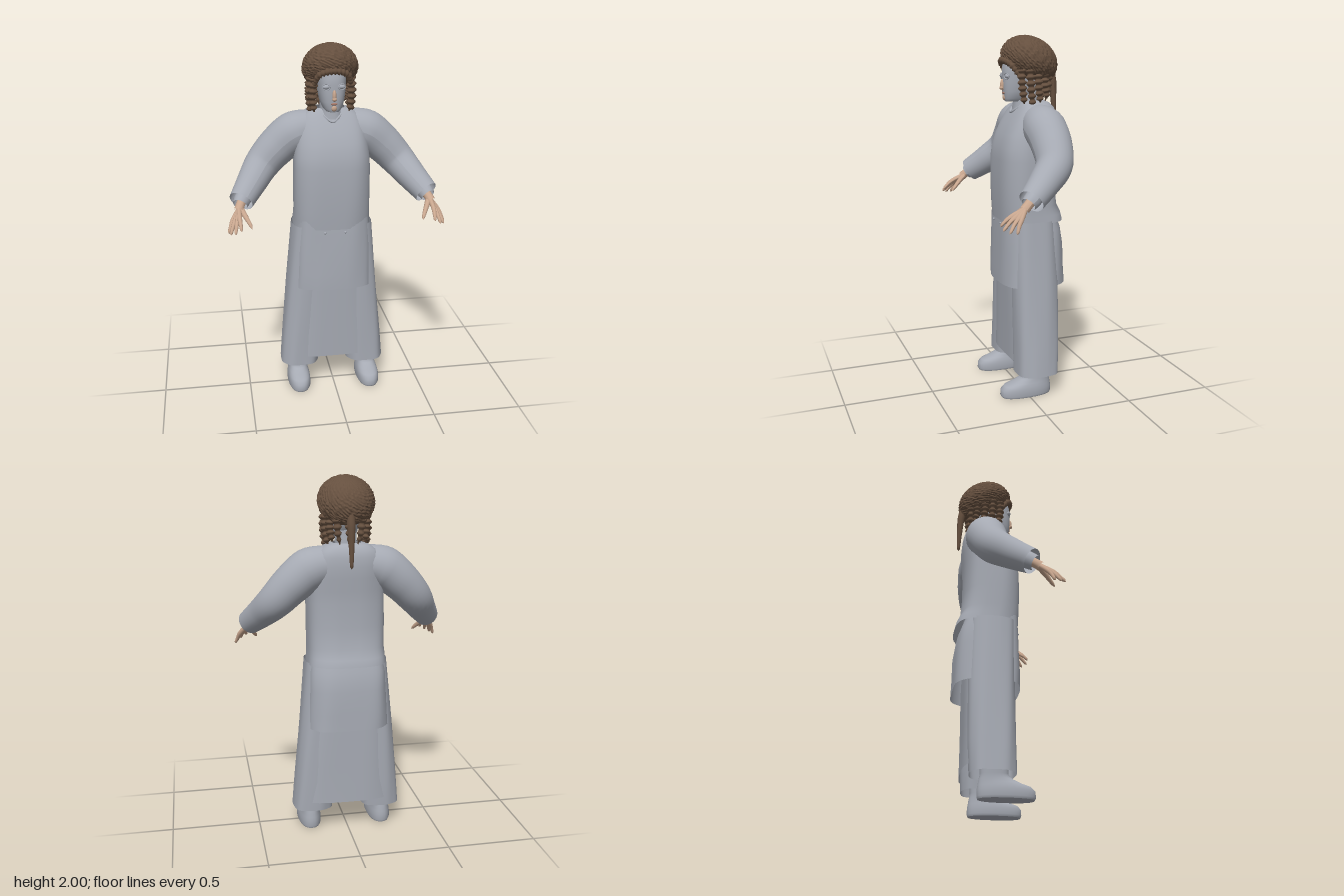
import * as THREE from 'three';

const mat = (name, color, side = THREE.FrontSide) => {
  const m = new THREE.MeshStandardMaterial({ color, side });
  m.name = name;
  return m;
};

// Stacked rounded-box sections, bottom to top: [y, halfWidth, zFront, zBack]
function loft(sections, { cx = 0, power = 2.5, seg = 48, fold = 0, caps = false } = {}) {
  const pos = [], idx = [];
  const bend = (v) => Math.sign(v) * Math.abs(v) ** (2 / power);
  const ring = ([y, w, zf, zb]) => {
    const start = pos.length / 3;
    for (let j = 0; j < seg; j++) {
      const a = (j / seg) * Math.PI * 2;
      const k = 1 + fold * Math.sin(a * 7 + y * 5) + fold * 0.6 * Math.sin(a * 3 - y * 23);
      pos.push(cx + w * k * bend(Math.cos(a)), y, (zf + zb) / 2 + ((zf - zb) / 2) * k * bend(Math.sin(a)));
    }
    return start;
  };
  const starts = sections.map(ring);
  for (let i = 0; i + 1 < starts.length; i++) {
    for (let j = 0; j < seg; j++) {
      const n = (j + 1) % seg, a = starts[i], b = starts[i + 1];
      idx.push(a + j, b + j, a + n, b + j, b + n, a + n);
    }
  }
  if (caps) {
    for (const [s, up] of [[sections[0], false], [sections.at(-1), true]]) {
      const r = ring(s), c = pos.length / 3;
      pos.push(cx, s[0], (s[2] + s[3]) / 2);
      for (let j = 0; j < seg; j++) {
        const n = (j + 1) % seg;
        idx.push(c, r + (up ? n : j), r + (up ? j : n));
      }
    }
  }
  const g = new THREE.BufferGeometry();
  g.setAttribute('position', new THREE.Float32BufferAttribute(pos, 3));
  g.setIndex(idx);
  g.computeVertexNormals();
  return g;
}

// Tube with a radius at each point: [x, y, z, radius]; optional bumps for braids
function taper(points, steps = 16, sides = 12, bumps = 0) {
  const curve = new THREE.CatmullRomCurve3(points.map((p) => new THREE.Vector3(p[0], p[1], p[2])));
  const g = new THREE.TubeGeometry(curve, steps, 1, sides);
  const p = g.attributes.position, c = new THREE.Vector3(), v = new THREE.Vector3();
  for (let i = 0; i <= steps; i++) {
    const t = curve.getUtoTmapping(i / steps) * (points.length - 1);
    const k = Math.min(Math.floor(t), points.length - 2);
    let r = THREE.MathUtils.lerp(points[k][3], points[k + 1][3], t - k);
    r *= 1 + (bumps ? 0.3 * Math.sin((i / steps) * bumps * Math.PI * 2) : 0);
    curve.getPointAt(i / steps, c);
    for (let j = 0; j <= sides; j++) {
      const n = i * (sides + 1) + j;
      v.fromBufferAttribute(p, n).sub(c).multiplyScalar(r).add(c);
      p.setXYZ(n, v.x, v.y, v.z);
    }
  }
  g.computeVertexNormals();
  return g;
}

// Woolly dome: staggered tufts running out from the crown
function hairDome() {
  const g = new THREE.SphereGeometry(1, 72, 44);
  const p = g.attributes.position, v = new THREE.Vector3();
  for (let i = 0; i < p.count; i++) {
    v.fromBufferAttribute(p, i);
    const a = Math.atan2(v.z, v.x), t = Math.acos(THREE.MathUtils.clamp(v.y, -1, 1));
    const k = 1 + 0.028 * Math.sin(t) * Math.sin(a * 24 + 3 * Math.sin(t * 9)) * Math.sin(t * 26 + 2 * Math.sin(a * 5));
    p.setXYZ(i, v.x * 0.153 * k, v.y * (v.y > 0 ? 0.132 : 0.106) * k, v.z * 0.163 * k);
  }
  const flat = g.toNonIndexed();
  flat.computeVertexNormals();
  return flat;
}

export function createModel() {
  const root = new THREE.Group();
  root.name = 'robedFigure';
  const cloth = mat('grey cloth', 0xa6aab3, THREE.DoubleSide);
  const hair = mat('brown hair', 0x66503f, THREE.DoubleSide);
  const skin = mat('skin', 0xc9a78f);
  const lip = mat('lips', 0xa5796a);
  const add = (name, geo, m, parent = root) => {
    const mesh = new THREE.Mesh(geo, m);
    mesh.name = name;
    parent.add(mesh);
    return mesh;
  };
  const ball = (name, m, x, y, z, sx, sy, sz) => {
    const b = add(name, new THREE.SphereGeometry(1, 16, 12), m);
    b.position.set(x, y, z);
    b.scale.set(sx, sy, sz);
    return b;
  };

  // Clothing layers
  add('upperTunic', loft([
    [0.99, 0.218, 0.1, -0.255], [1.03, 0.215, 0.103, -0.245], [1.08, 0.213, 0.106, -0.218],
    [1.2, 0.214, 0.11, -0.208], [1.33, 0.213, 0.108, -0.206], [1.4, 0.21, 0.1, -0.21],
    [1.47, 0.203, 0.078, -0.217], [1.53, 0.195, 0.048, -0.22], [1.58, 0.18, 0.02, -0.215],
    [1.615, 0.155, -0.005, -0.205], [1.638, 0.12, -0.02, -0.185], [1.65, 0.08, -0.03, -0.16],
  ], { power: 2.9, fold: 0.006 }), cloth);
  add('lowerTunic', loft([
    [0.63, 0.228, 0.108, -0.258], [0.72, 0.224, 0.108, -0.255], [0.85, 0.219, 0.104, -0.25],
    [0.95, 0.215, 0.1, -0.235], [1.04, 0.205, 0.095, -0.2],
  ], { power: 3.4, fold: 0.01 }), cloth);
  add('skirt', loft([
    [0.18, 0.265, 0.064, -0.203], [0.4, 0.25, 0.066, -0.2], [0.65, 0.235, 0.07, -0.2], [0.98, 0.205, 0.075, -0.19],
  ], { power: 3.2, fold: 0.008 }), cloth);
  add('collar', taper([[-0.075, 1.645, -0.05, 0.006], [-0.04, 1.61, -0.005, 0.006], [0, 1.585, 0.022, 0.006],
    [0.04, 1.61, -0.005, 0.006], [0.075, 1.645, -0.05, 0.006]], 24, 8), cloth);

  // Head
  add('neck', loft([[1.56, 0.075, 0.015, -0.16], [1.64, 0.058, 0, -0.14], [1.74, 0.058, 0, -0.14]]), cloth);
  add('face', loft([
    [1.645, 0.035, 0.052, -0.06], [1.662, 0.052, 0.06, -0.09], [1.7, 0.066, 0.064, -0.13], [1.75, 0.074, 0.067, -0.16],
    [1.79, 0.077, 0.064, -0.17], [1.83, 0.08, 0.064, -0.175], [1.88, 0.08, 0.045, -0.17],
  ], { power: 2.6, caps: true }), cloth);
  ball('nose', skin, 0, 1.735, 0.067, 0.011, 0.032, 0.014);
  ball('noseTip', skin, 0, 1.718, 0.074, 0.013, 0.01, 0.011);
  ball('chin', skin, 0, 1.668, 0.056, 0.016, 0.017, 0.011);
  ball('lips', lip, 0, 1.691, 0.062, 0.018, 0.007, 0.007);
  const dome = add('hairDome', hairDome(), hair);
  dome.position.set(0, 1.861, -0.085);
  dome.rotation.x = -0.45;
  add('fringe', taper([[-0.1, 1.79, 0.01, 0.012], [-0.075, 1.845, 0.045, 0.016], [0, 1.866, 0.064, 0.017],
    [0.075, 1.845, 0.045, 0.016], [0.1, 1.79, 0.01, 0.012]], 40, 8, 14), hair);
  add('ponytail', taper([[0, 1.82, -0.215, 0.02], [0, 1.75, -0.228, 0.022], [0, 1.65, -0.235, 0.016],
    [0, 1.53, -0.24, 0.008], [0, 1.524, -0.24, 0.0005]], 24, 10), hair);
  for (const x of [-0.04, 0, 0.04]) {
    add('napeLock', taper([[x * 1.7, 1.78, -0.175, 0.022], [x * 1.5, 1.7, -0.175, 0.016],
      [x * 1.2, 1.645, -0.165, 0.004]], 20, 8, 4), hair);
  }

  for (const s of [-1, 1]) {
    const side = s > 0 ? 'left' : 'right';

    // Eyes
    ball(side + 'Eye', cloth, s * 0.042, 1.782, 0.055, 0.019, 0.012, 0.012);
    const lid = add(side + 'Eyelid', new THREE.TorusGeometry(0.021, 0.003, 8, 24), cloth);
    lid.position.set(s * 0.042, 1.782, 0.06);
    lid.rotation.y = s * 0.3;
    lid.scale.y = 0.75;

    // Side braids
    for (const [z, bottom, x] of [[-0.005, 1.635, 0.1], [-0.05, 1.62, 0.112], [-0.095, 1.64, 0.108], [-0.14, 1.66, 0.092]]) {
      add(side + 'Braid', taper([[s * x, 1.82, z, 0.021], [s * (x + 0.005), 1.73, z - 0.004, 0.021],
        [s * x, bottom + 0.02, z - 0.015, 0.016], [s * (x - 0.004), bottom, z - 0.018, 0.003]], 36, 8, 6), hair);
    }

    // Sleeve with its under-cuff
    add(side + 'Sleeve', taper([
      [s * 0.08, 1.535, -0.1, 0.1], [s * 0.2, 1.508, -0.1, 0.118], [s * 0.3, 1.43, -0.1, 0.109],
      [s * 0.385, 1.34, -0.078, 0.097], [s * 0.45, 1.262, 0.005, 0.083], [s * 0.515, 1.187, 0.1, 0.068],
    ], 30, 28), cloth);
    add(side + 'UnderCuff', taper([[s * 0.45, 1.262, 0.005, 0.05], [s * 0.51, 1.19, 0.095, 0.046],
      [s * 0.522, 1.173, 0.118, 0.04]], 6, 16), cloth);

    // Hand
    const hand = new THREE.Group();
    hand.name = side + 'Hand';
    root.add(hand);
    add('wrist', taper([[s * 0.5, 1.2, 0.08, 0.026], [s * 0.522, 1.17, 0.12, 0.025], [s * 0.532, 1.148, 0.145, 0.026]], 8, 12), skin, hand);
    const tips = [[0.59, 1.042, 0.205], [0.58, 1.045, 0.24], [0.556, 1.055, 0.266], [0.525, 1.072, 0.268]];
    tips.forEach(([x, y, z], i) => {
      const k = [0.566 - i * 0.012, 1.107 + i * 0.005, 0.172 + i * 0.013];
      add('finger', taper([[s * 0.53, 1.155, 0.137, 0.014], [s * k[0], k[1], k[2], 0.0125],
        [s * (k[0] + x) / 2, (k[1] + y) / 2 + 0.005, (k[2] + z) / 2, 0.0105],
        [s * x, y + 0.004, z - 0.003, 0.007], [s * x, y, z, 0.0005]], 16, 10), skin, hand);
    });
    add('thumb', taper([[s * 0.52, 1.155, 0.135, 0.018], [s * 0.497, 1.122, 0.175, 0.014],
      [s * 0.472, 1.082, 0.218, 0.009], [s * 0.467, 1.07, 0.23, 0.0005]], 12, 10), skin, hand);

    // Trouser leg, shoe and pocket stud
    add(side + 'Trouser', loft([
      [0.128, 0.112, 0.06, -0.178], [0.3, 0.112, 0.06, -0.185], [0.63, 0.108, 0.062, -0.188], [1.0, 0.105, 0.065, -0.18],
    ].map((r) => r), { cx: 0, power: 2.8, fold: 0.015 }), cloth);
    const leg = root.children.at(-1).geometry.attributes.position;
    for (let i = 0; i < leg.count; i++) {
      leg.setX(i, leg.getX(i) + s * (0.195 - 0.082 * (leg.getY(i) - 0.128)));
    }
    root.children.at(-1).geometry.computeVertexNormals();
    add(side + 'Shoe', loft([
      [0, 0.06, 0.15, -0.135], [0.012, 0.066, 0.157, -0.14], [0.045, 0.065, 0.155, -0.14], [0.065, 0.061, 0.135, -0.136],
      [0.08, 0.056, 0.09, -0.134], [0.1, 0.051, 0.045, -0.13], [0.125, 0.05, 0.02, -0.125], [0.3, 0.055, 0.015, -0.13],
    ], { cx: s * 0.207, power: 2.4, seg: 32, caps: true }), cloth);
    ball('pocketStud', cloth, s * 0.057, 0.975, 0.102, 0.007, 0.007, 0.006);
  }
  return root;
}
